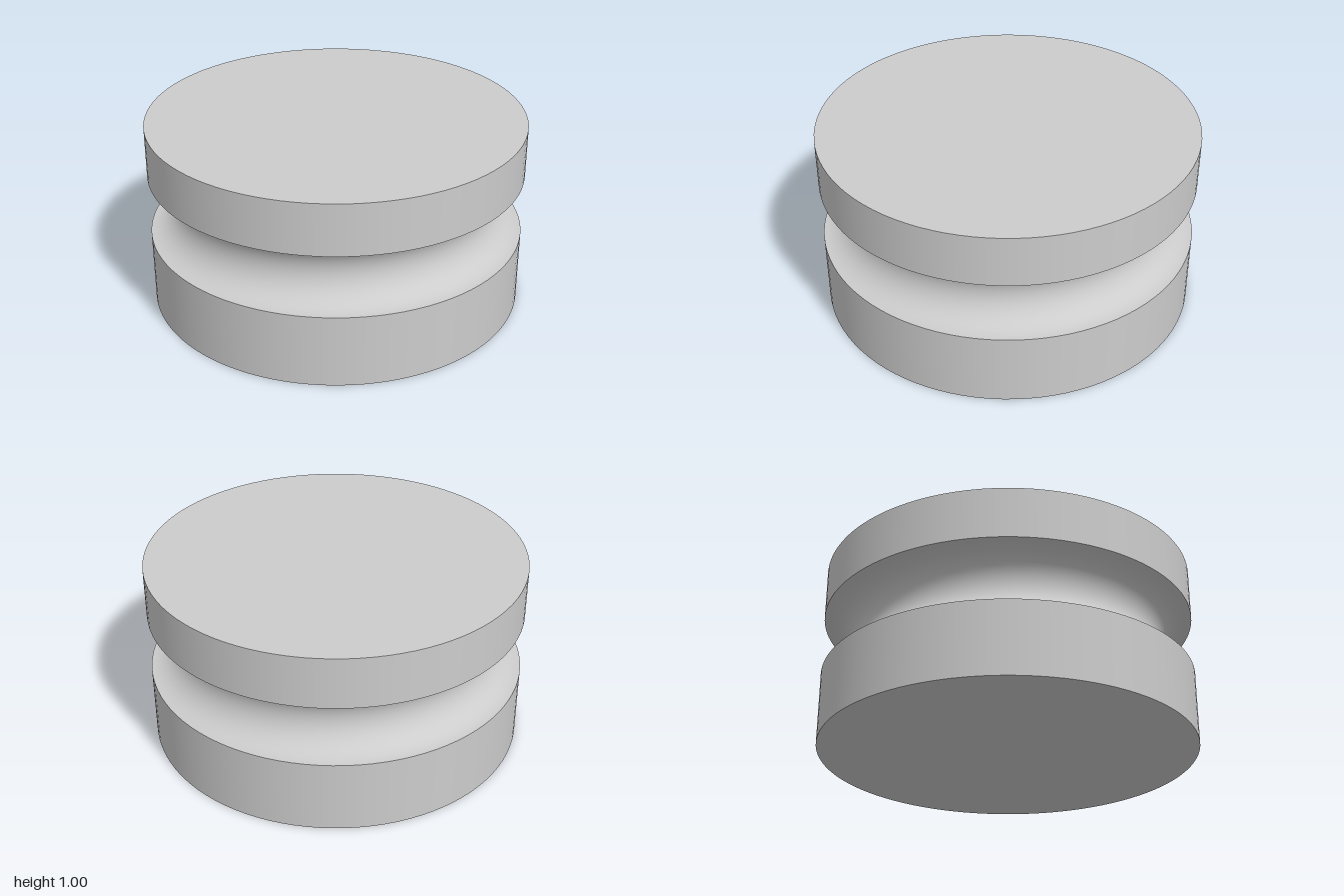
import * as THREE from 'three';

const SEGMENTS = 96;
const RADIUS = 1;
const HEIGHT = 1;
const GROOVE_Y = 0.558;
const GROOVE_RADIUS = 0.167;

export function createModel() {
  const model = new THREE.Group();
  model.name = 'groovedWheel';
  const grey = new THREE.MeshStandardMaterial({ color: 0xcccccc });
  grey.name = 'plain grey';

  const add = (name, geometry) => {
    const mesh = new THREE.Mesh(geometry, grey);
    mesh.name = name;
    model.add(mesh);
    return mesh;
  };
  // Each band is turned separately so the rims between them stay sharp
  const addBand = (name, points) => add(name, new THREE.LatheGeometry(points, SEGMENTS));
  const wall = (y0, y1) => [new THREE.Vector2(RADIUS, y0), new THREE.Vector2(RADIUS, y1)];

  // Straight rims below and above the groove
  addBand('lowerRim', wall(0, GROOVE_Y - GROOVE_RADIUS));
  addBand('upperRim', wall(GROOVE_Y + GROOVE_RADIUS, HEIGHT));

  // Half-round groove, from its lower lip inward and up to its upper lip
  const steps = 32;
  const profile = [];
  for (let i = 0; i <= steps; i++) {
    const a = (i / steps) * Math.PI;
    profile.push(new THREE.Vector2(
      RADIUS - GROOVE_RADIUS * Math.sin(a),
      GROOVE_Y - GROOVE_RADIUS * Math.cos(a)
    ));
  }
  addBand('groove', profile);

  // Flat end faces
  const disc = () => new THREE.CircleGeometry(RADIUS, SEGMENTS);
  add('topFace', disc().rotateX(-Math.PI / 2)).position.y = HEIGHT;
  add('bottomFace', disc().rotateX(Math.PI / 2));

  return model;
}
